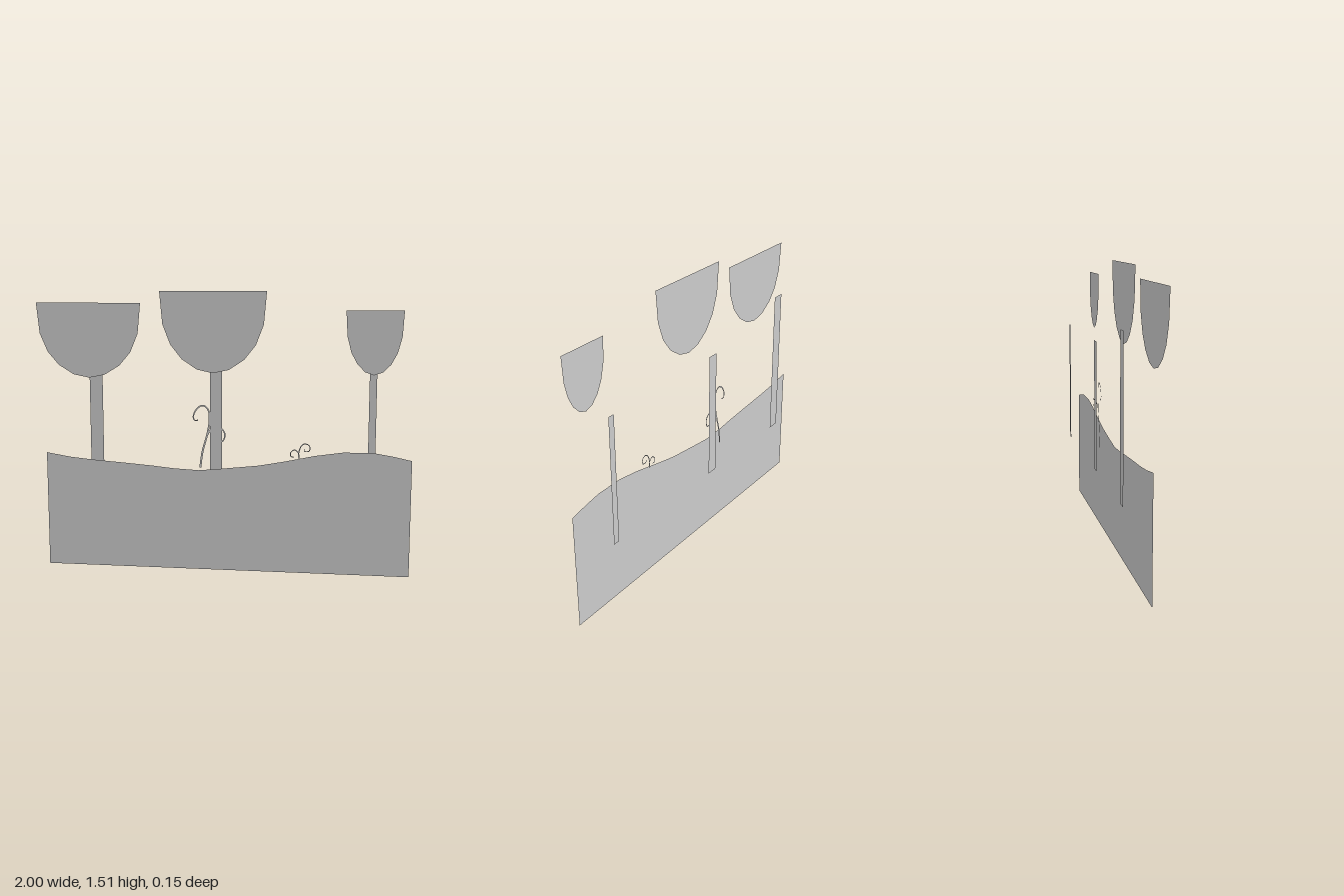
import * as THREE from 'three';

const grey = new THREE.MeshStandardMaterial({ color: 0xcccccc, side: THREE.DoubleSide });

// Depth of each flat layer of the scenery
const Z = { ground: 0.012, crown: 0.075, trunk: -0.075, vine: -0.068, sprout: 0.007 };

const vec = ([x, y]) => new THREE.Vector2(x, y);

// A flat cut-out standing at depth z
function cutout(name, points, z) {
  const mesh = new THREE.Mesh(new THREE.ShapeGeometry(new THREE.Shape(points)), grey);
  mesh.name = name;
  mesh.position.z = z;
  return mesh;
}

// A thin flat ribbon along a smooth curve, tapering from width w0 to w1
function ribbon(name, path, w0, w1, z, steps = 40) {
  const curve = new THREE.SplineCurve(path.map(vec));
  const left = [], right = [];
  for (let i = 0; i <= steps; i++) {
    const t = i / steps;
    const p = curve.getPoint(t), d = curve.getTangent(t);
    const n = new THREE.Vector2(-d.y, d.x).multiplyScalar(THREE.MathUtils.lerp(w0, w1, t) / 2);
    left.push(p.clone().add(n));
    right.unshift(p.clone().sub(n));
  }
  return cutout(name, [...left, ...right], z);
}

// Half of the crown outline: share of half width, share of height
const crownProfile = [[1, 1], [0.945, 0.595], [0.8, 0.347], [0.585, 0.168], [0.3, 0.043], [0, 0]];

function tree(name, { x, half, top, bottom, trunkX, trunkW, trunkTop }) {
  const group = new THREE.Group();
  group.name = name;

  // Bowl-shaped crown, flat on top
  const at = (side) => ([u, v]) => vec([x + side * u * half, bottom + v * (top - bottom)]);
  const rightSide = crownProfile.map(at(1));
  const leftSide = crownProfile.slice(0, -1).reverse().map(at(-1));
  group.add(cutout('crown', [...rightSide, ...leftSide], Z.crown));

  // Straight trunk reaching behind the ground
  const a = trunkX - trunkW / 2, b = trunkX + trunkW / 2;
  group.add(cutout('trunk', [[a, 0.41], [b, 0.41], [b, trunkTop], [a, trunkTop]].map(vec), Z.trunk));
  return group;
}

export function createModel() {
  const model = new THREE.Group();
  model.name = 'layeredLandscape';

  // Ground with a rolling upper edge
  const hill = [
    [-0.984, 0.632], [-0.85, 0.61], [-0.717, 0.597], [-0.525, 0.583], [-0.39, 0.572],
    [-0.27, 0.56], [-0.135, 0.553], [-0.01, 0.565], [0.19, 0.587], [0.33, 0.613],
    [0.49, 0.647], [0.64, 0.669], [0.8, 0.669], [0.9, 0.653], [0.998, 0.632],
  ];
  model.add(cutout('ground', [[-0.984, 0], ...hill, [0.998, 0]].map(vec), Z.ground));

  // Three trees
  model.add(
    tree('rightTree', { x: -0.717, half: 0.283, top: 1.452, bottom: 1.055, trunkX: -0.72, trunkW: 0.073, trunkTop: 1.237 }),
    tree('middleTree', { x: -0.049, half: 0.283, top: 1.515, bottom: 1.087, trunkX: -0.054, trunkW: 0.066, trunkTop: 1.108 }),
    tree('leftTree', { x: 0.788, half: 0.147, top: 1.418, bottom: 1.087, trunkX: 0.789, trunkW: 0.039, trunkTop: 1.108 }),
  );

  // Tall curling vine with a small tendril beside the middle trunk
  const vine = new THREE.Group();
  vine.name = 'vine';
  vine.add(
    ribbon('stem', [[-0.14, 0.553], [-0.128, 0.64], [-0.102, 0.735], [-0.089, 0.81], [-0.094, 0.869],
      [-0.124, 0.896], [-0.156, 0.88], [-0.177, 0.842], [-0.172, 0.815], [-0.153, 0.815]], 0.011, 0.006, Z.vine),
    ribbon('tendril', [[-0.104, 0.73], [-0.08, 0.765], [-0.045, 0.777], [-0.014, 0.762],
      [-0.004, 0.733], [-0.015, 0.703], [-0.035, 0.705]], 0.009, 0.006, Z.vine),
  );
  model.add(vine);

  // Small sprout with two curls on the slope
  const sprout = new THREE.Group();
  sprout.name = 'sprout';
  sprout.add(
    ribbon('largeCurl', [[0.405, 0.625], [0.403, 0.66], [0.416, 0.697], [0.437, 0.71], [0.46, 0.698],
      [0.459, 0.672], [0.435, 0.669], [0.432, 0.682]], 0.006, 0.004, Z.sprout),
    ribbon('smallCurl', [[0.405, 0.635], [0.4, 0.662], [0.379, 0.676], [0.36, 0.66],
      [0.362, 0.64], [0.378, 0.637]], 0.006, 0.004, Z.sprout),
  );
  model.add(sprout);

  return model;
}
